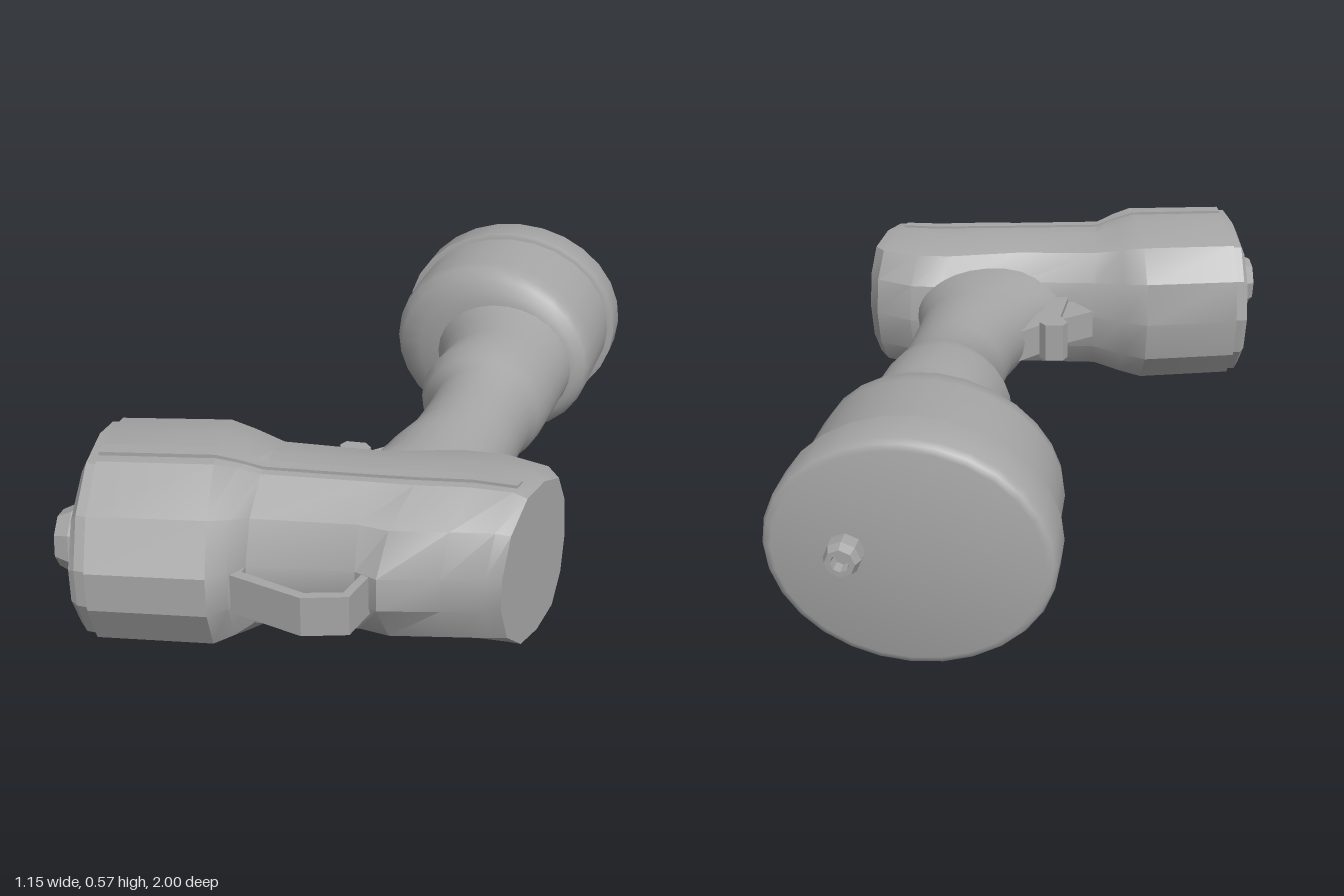
import * as THREE from 'three';
import { toCreasedNormals } from 'three/addons/utils/BufferGeometryUtils.js';

const V = (x, y, z) => new THREE.Vector3(x, y, z);

// Skin a list of closed rings and cap both ends, with faces pointing outward
function loft(rings, crease = 0.45) {
  const n = rings[0].length, tris = [];
  const centre = r => r.reduce((a, p) => a.add(p), V(0, 0, 0)).divideScalar(n);
  for (let i = 0; i < rings.length - 1; i++) {
    for (let j = 0; j < n; j++) {
      const k = (j + 1) % n, a = rings[i], b = rings[i + 1];
      tris.push([a[j], a[k], b[k]], [a[j], b[k], b[j]]);
    }
  }
  const first = rings[0], last = rings[rings.length - 1];
  const c0 = centre(first), c1 = centre(last);
  for (let j = 0; j < n; j++) {
    const k = (j + 1) % n;
    tris.push([c0, first[k], first[j]], [c1, last[j], last[k]]);
  }
  const volume = tris.reduce((s, [a, b, c]) =>
    s + a.clone().sub(c0).dot(b.clone().sub(c0).cross(c.clone().sub(c0))), 0);
  const points = tris.flatMap(([a, b, c]) => (volume > 0 ? [a, b, c] : [a, c, b]));
  return toCreasedNormals(new THREE.BufferGeometry().setFromPoints(points), crease);
}

// Elliptical rings across z: [centre x, centre y, z, radius x, radius y, slope of z along x]
function ellipses(rows, sides = 28) {
  return rows.map(([cx, cy, z, rx, ry, slope = 0]) => Array.from({ length: sides }, (_, i) => {
    const t = i / sides * Math.PI * 2, dx = rx * Math.cos(t);
    return V(cx + dx, cy + ry * Math.sin(t), z + slope * dx);
  }));
}

// Housing stations: [back x, back z, front x, front z, half height]
const MID = 0.275;
const STATIONS = [
  [-0.53, 0.455, -0.395, 0.995, 0.237], [-0.27, 0.39, -0.13, 0.94, 0.24],
  [-0.2, 0.405, -0.095, 0.9, 0.226], [-0.11, 0.43, -0.07, 0.85, 0.206],
  [0.12, 0.41, 0.17, 0.8, 0.204], [0.34, 0.335, 0.225, 0.818, 0.205],
  [0.43, 0.333, 0.36, 0.78, 0.205], [0.54, 0.375, 0.455, 0.748, 0.204],
  [0.572, 0.425, 0.49, 0.735, 0.198],
];
// Section points: [0 at the front to 1 at the back, height]
const HALF = [[0, 0.2], [0.11, 0.67], [0.34, 0.97], [0.6, 1], [0.84, 0.87], [0.96, 0.5]];
const SECTION = [...HALF, [1, 0], ...HALF.map(([u, v]) => [u, -v]).reverse()];

function sections(stations, profile) {
  return stations.map(([bx, bz, fx, fz, h]) => profile.map(([u, v]) =>
    V(fx + (bx - fx) * u, MID + v * h, fz + (bz - fz) * u)));
}

export function createModel() {
  const group = new THREE.Group();
  const grey = new THREE.MeshStandardMaterial({ color: 0xa6a6a6 });
  grey.name = 'grey plastic';
  const add = (name, geometry) => {
    const mesh = new THREE.Mesh(geometry, grey);
    mesh.name = name;
    group.add(mesh);
    return mesh;
  };

  // Motor housing with a raised seam on both sides
  add('motorHousing', loft(sections(STATIONS, SECTION)));
  for (const s of [1, -1]) {
    const rib = [[0.39, 0.9], [0.39, 1.012], [0.46, 1.015], [0.46, 0.9]].map(([u, v]) => [u, v * s]);
    add('housingSeam', loft(sections(STATIONS.slice(0, -1), rib)));
  }

  // Stepped end plate behind the chuck
  add('endPlate', loft(sections([
    [-0.52, 0.465, -0.385, 0.985, 0.228], [-0.55, 0.47, -0.425, 0.985, 0.228],
    [-0.56, 0.475, -0.442, 0.978, 0.2],
  ], SECTION), 0.3));

  // Hollow faceted nuts for the chuck and the rear knob
  const nut = (r, length, sides) => toCreasedNormals(new THREE.LatheGeometry([
    [0, 0], [r, 0], [r, length * 0.7], [r * 0.8, length],
    [r * 0.5, length], [r * 0.45, length * 0.6], [0, length * 0.6],
  ].map(p => new THREE.Vector2(...p)), sides), 0.3);
  const point = (mesh, position, direction) => {
    mesh.position.copy(position);
    mesh.quaternion.setFromUnitVectors(V(0, 1, 0), direction.normalize());
  };
  point(add('chuck', nut(0.083, 0.12, 8)), V(-0.445, 0.275, 0.765), V(-0.975, 0, 0.22));
  point(add('rearKnob', nut(0.043, 0.07, 8)), V(0.29, 0.3, -0.93), V(0, 0, -1));

  // Grip, swelling near the battery and flaring into the housing
  add('grip', loft(ellipses([
    [0.21, 0.285, 0.5, 0.23, 0.13], [0.21, 0.285, 0.4, 0.22, 0.133],
    [0.22, 0.285, 0.32, 0.18, 0.135], [0.218, 0.285, 0.22, 0.158, 0.136],
    [0.23, 0.285, 0.12, 0.142, 0.138], [0.233, 0.285, 0, 0.138, 0.14],
    [0.235, 0.285, -0.11, 0.138, 0.15], [0.225, 0.285, -0.155, 0.162, 0.163],
    [0.218, 0.285, -0.21, 0.178, 0.174], [0.228, 0.288, -0.33, 0.176, 0.17],
    [0.222, 0.29, -0.44, 0.188, 0.169], [0.21, 0.293, -0.53, 0.21, 0.18],
  ]), 0.8));

  // Battery with a sloping rounded shoulder, and its wider base cap
  add('battery', loft(ellipses([
    [0.21, 0.295, -0.495, 0.17, 0.17, 0.1], [0.185, 0.295, -0.512, 0.245, 0.205, 0.13],
    [0.165, 0.295, -0.538, 0.288, 0.24, 0.13], [0.157, 0.295, -0.565, 0.303, 0.259, 0.13],
    [0.155, 0.295, -0.61, 0.308, 0.263, 0.1], [0.155, 0.295, -0.83, 0.312, 0.267],
  ]), 0.7));
  add('batteryCap', loft(ellipses([
    [0.155, 0.292, -0.82, 0.318, 0.275], [0.155, 0.292, -0.825, 0.33, 0.287],
    [0.155, 0.292, -0.925, 0.33, 0.287], [0.155, 0.292, -0.94, 0.322, 0.279],
    [0.155, 0.292, -0.945, 0.306, 0.264],
  ]), 0.9));

  // Flat outlines in x and z, given thickness along y
  const slab = (name, outline, y, height) => {
    const shape = new THREE.Shape(outline.map(([x, z]) => new THREE.Vector2(x, -z)));
    const geometry = new THREE.ExtrudeGeometry(shape, { depth: height, bevelEnabled: false });
    geometry.rotateX(-Math.PI / 2).translate(0, y, 0);
    add(name, geometry);
  };
  slab('trigger', [[-0.03, 0.44], [-0.025, 0.29], [-0.05, 0.25], [-0.04, 0.225], [0.01, 0.22],
    [0.03, 0.24], [0.03, 0.44]], 0.225, 0.11);
  slab('directionSwitch', [[-0.11, 0.37], [-0.03, 0.305], [0, 0.44], [-0.04, 0.44]], 0.24, 0.08);
  slab('triggerBridge', [[0.02, 0.25], [0.1, 0.16], [0.12, 0.44], [0.02, 0.44]], 0.235, 0.09);

  // Belt hook on the front
  slab('beltHook', [[-0.1, 0.865], [-0.095, 0.892], [0.09, 0.935], [0.19, 0.9], [0.208, 0.8],
    [0.188, 0.8], [0.173, 0.885], [0.09, 0.913], [-0.07, 0.872], [-0.07, 0.84]], 0.217, 0.098);

  return group;
}
